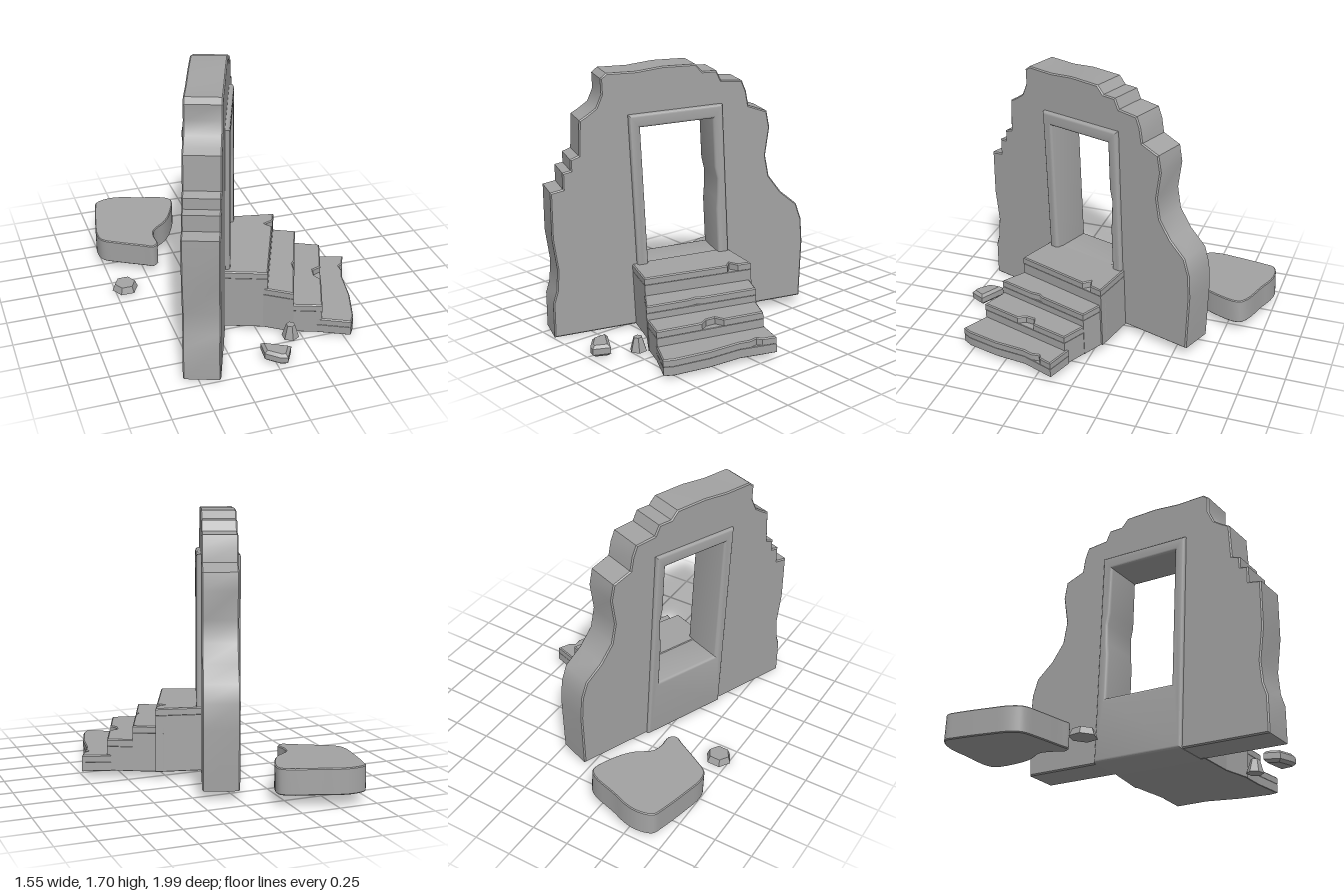
import * as THREE from 'three';
import { toCreasedNormals } from 'three/addons/utils/BufferGeometryUtils.js';

const HEADING = 1.211; // turn of the wall in plan
const TILT = 0.042;    // slight lean of the whole ruin
const stone = new THREE.MeshStandardMaterial({ color: 0xa3a3a3 });
stone.name = 'grey stone';

const toPoints = (list) => list.map(([x, y]) => new THREE.Vector2(x, y));

// extrusion that keeps its outline, with softened edges
function extrude(shape, depth, bevel, segments = 1) {
  const geometry = new THREE.ExtrudeGeometry(shape, {
    depth: depth - 2 * bevel, bevelEnabled: true, bevelThickness: bevel,
    bevelSize: bevel, bevelOffset: -bevel, bevelSegments: segments, curveSegments: 48,
  });
  geometry.translate(0, 0, bevel);
  return toCreasedNormals(geometry, 0.55);
}

function addMesh(parent, name, geometry) {
  const mesh = new THREE.Mesh(geometry, stone);
  mesh.name = name;
  parent.add(mesh);
  return mesh;
}

// upright block from a plan outline of [x, z] points
function prism(outline, y0, y1, bevel, smooth = false) {
  const points = toPoints(outline.map(([x, z]) => [x, -z]));
  const shape = new THREE.Shape(smooth
    ? new THREE.CatmullRomCurve3(points.map((p) => new THREE.Vector3(p.x, p.y, 0)), true)
      .getPoints(72).slice(0, -1).map((p) => new THREE.Vector2(p.x, p.y))
    : points);
  return extrude(shape, y1 - y0, bevel).rotateX(-Math.PI / 2).translate(0, y0, 0);
}

// broken wall; outline as [-distance along z, height]
function buildWall(parent) {
  const outline = [
    [0.99, 0], [0.99, 0.23], [0.967, 0.31], [0.957, 0.45], [0.983, 0.66], [0.983, 0.96],
    [0.908, 0.975], [0.908, 1.08], [0.86, 1.09], [0.86, 1.16], [0.81, 1.18], [0.8, 1.4],
    [0.76, 1.425], [0.7, 1.47], [0.667, 1.55], [0.67, 1.65], [0.635, 1.68], [0.46, 1.68],
    [0.3, 1.7], [0.1, 1.7], [0.056, 1.65], [-0.03, 1.65], [-0.06, 1.585], [-0.19, 1.575],
    [-0.217, 1.505], [-0.233, 1.41], [-0.35, 1.365], [-0.37, 1.255], [-0.345, 1.07],
    [-0.37, 0.93], [-0.45, 0.815], [-0.555, 0.72], [-0.59, 0.61], [-0.6, 0.45], [-0.587, 0.065],
  ].map(([z, y]) => [-z / 0.936, y]);
  const shape = new THREE.Shape(toPoints(outline));
  shape.holes.push(new THREE.Path(toPoints([[-0.468, 0.3], [0.077, 0.3], [0.03, 1.39], [-0.51, 1.39]])));
  const wall = addMesh(parent, 'brokenWall', extrude(shape, 0.23, 0.008).translate(0, 0, -0.23));
  wall.rotation.z = -TILT;
}

// door surround with a solid base and a chipped jamb
function buildDoorFrame(parent) {
  const shape = new THREE.Shape(toPoints([[-0.49, 0.04], [0.125, 0.04], [0.125, 1.435], [-0.49, 1.435]]));
  shape.holes.push(new THREE.Path(toPoints([
    [-0.42, 0.45], [0.055, 0.45], [0.055, 0.75], [0.063, 0.82], [0.07, 0.95], [0.055, 1.03],
    [0.055, 1.35], [-0.42, 1.35],
  ])));
  addMesh(parent, 'doorFrame', extrude(shape, 0.283, 0.018, 3).translate(0, 0, -0.253));
}

// four worn steps: left and right corners, front edge and chip, as [along wall, outwards]
function buildSteps(parent) {
  const steps = [
    { top: 0.455, back: [[-0.52, -0.02], [0.13, -0.02]], front: [[0.177, 0.292], [-0.52, 0.266]],
      chip: [[0.09, 0.288], [0.05, 0.235], [0.02, 0.286]] },
    { top: 0.338, back: [[-0.52, 0.24], [0.17, 0.24]], front: [[0.15, 0.439], [-0.565, 0.43]],
      chip: [[-0.2, 0.434], [-0.24, 0.42], [-0.3, 0.433]] },
    { top: 0.247, back: [[-0.56, 0.41], [0.15, 0.41]], front: [[0.13, 0.604], [-0.56, 0.61]],
      chip: [[-0.13, 0.606], [-0.17, 0.555], [-0.23, 0.565], [-0.27, 0.607]] },
    { top: 0.145, back: [[-0.56, 0.58], [0.14, 0.58]],
      front: [[0.149, 0.766], [-0.085, 0.753], [-0.294, 0.794], [-0.519, 0.808], [-0.583, 0.793]],
      chip: [[0.06, 0.76], [0.03, 0.735], [-0.02, 0.756]] },
  ];
  const group = new THREE.Group();
  group.name = 'steps';
  parent.add(group);
  for (const { top, back, front, chip } of steps) {
    addMesh(group, 'riser', prism([...back, ...front], 0.04, top - 0.045, 0.003));
    addMesh(group, 'tread', prism([...back, front[0], ...chip, ...front.slice(1)], top - 0.052, top, 0.007));
  }
}

// fallen slab and loose stones around the wall
function buildRubble(parent) {
  const slab = [
    [-0.685, -0.97], [-0.595, -1], [-0.5, -0.99], [-0.39, -0.95], [-0.21, -0.89], [-0.165, -0.84],
    [-0.225, -0.66], [-0.29, -0.565], [-0.385, -0.485], [-0.405, -0.42], [-0.405, -0.32],
    [-0.447, -0.29], [-0.5, -0.32], [-0.66, -0.41], [-0.755, -0.475], [-0.775, -0.555],
    [-0.755, -0.69], [-0.71, -0.9],
  ];
  addMesh(parent, 'fallenSlab', prism(slab, 0.045, 0.21, 0.006, true));

  const chunk = [[-0.06, 0.81], [-0.034, 0.815], [0.11, 0.895], [0.055, 0.99], [0.013, 0.98], [-0.066, 0.91]];
  addMesh(parent, 'looseChunk', prism(chunk, 0.05, 0.125, 0.018));

  const stones = [
    ['hexagonalStone', 0.068, 0.086, 0.045, -0.685, 0.025, -0.135, Math.PI / 6],
    ['smallStone', 0.028, 0.055, 0.09, 0.167, 0.055, 0.73, 0],
  ];
  for (const [name, rTop, rBottom, height, x, y, z, turn] of stones) {
    const geometry = new THREE.CylinderGeometry(rTop, rBottom, height, 6).rotateY(turn);
    const mesh = addMesh(parent, name, toCreasedNormals(geometry, 0.3));
    mesh.position.set(x, y + height / 2, z);
  }
}

export function createModel() {
  const model = new THREE.Group();
  model.name = 'ruinedDoorway';

  // everything shares one lean about the wall's outward axis
  const leaning = new THREE.Group();
  leaning.name = 'leaningRuin';
  const outward = new THREE.Vector3(Math.sin(HEADING), 0, Math.cos(HEADING));
  leaning.quaternion.setFromAxisAngle(outward, TILT);
  model.add(leaning);

  const doorway = new THREE.Group();
  doorway.name = 'doorway';
  doorway.rotation.y = HEADING;
  leaning.add(doorway);

  buildWall(doorway);
  buildDoorFrame(doorway);
  buildSteps(doorway);
  buildRubble(leaning);
  return model;
}
